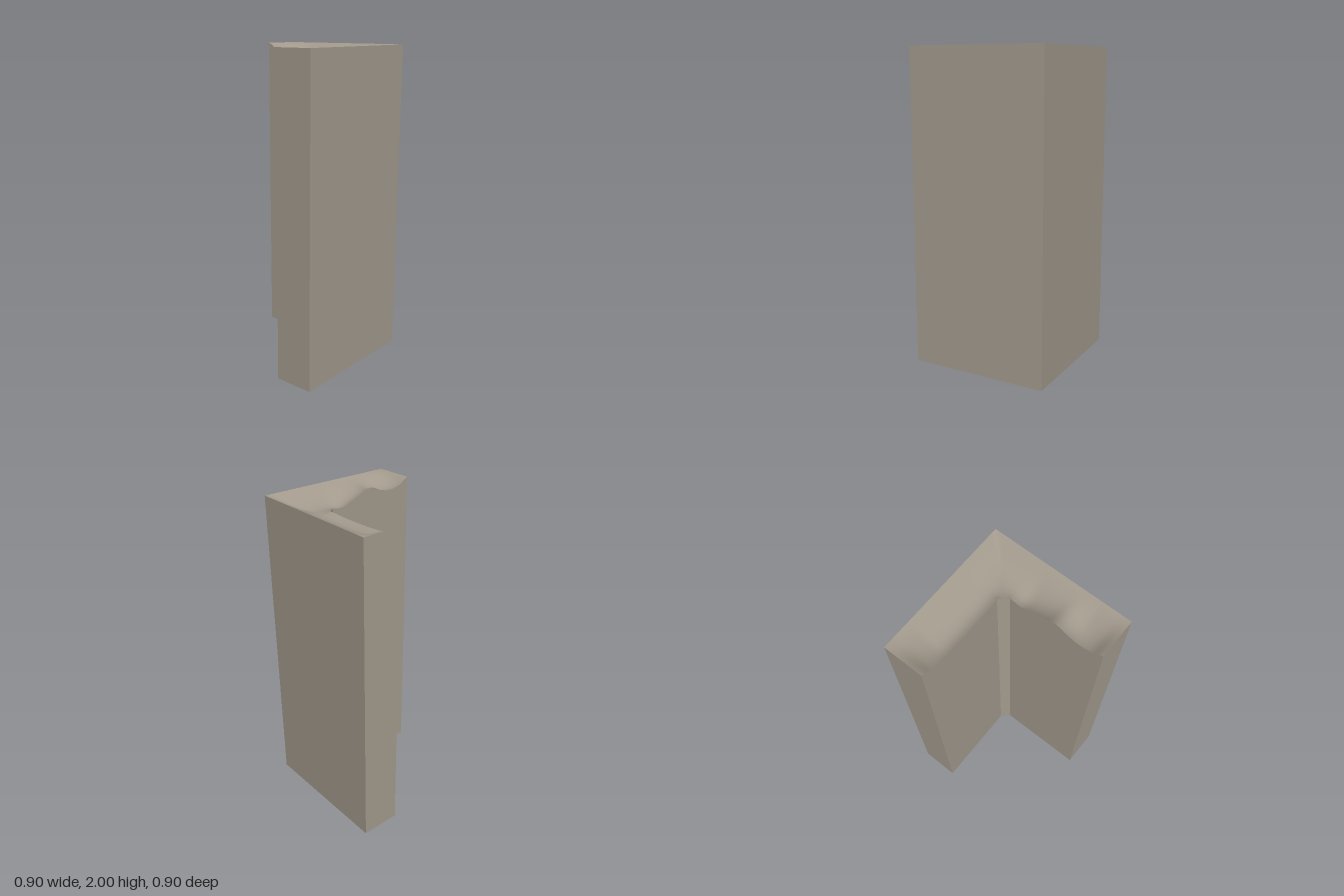
import * as THREE from 'three';

const LO = -0.45, HI = 0.45, INNER = 0.2, CHAMFER = 0.05, HEIGHT = 2;
const HALF = 40; // columns per wall

// How far the worn inner rim sinks, from each wall's free end to the corner
const spline = (drops) => new THREE.SplineCurve(drops.map((d, i) => new THREE.Vector2(i, d)));
const frontRim = spline([0, 0.042, 0.055, 0.04, 0.01, 0.035, 0.065, 0.09, 0.08, 0.077, 0.076]);
const sideRim = spline([0, 0.042, 0.066, 0.073, 0.076, 0.077, 0.077, 0.075, 0.073, 0.074, 0.076]);

// Plan position (x, z) across one wall: k runs from free end to corner, t from inside to outside
function plan(k, t) {
  const run = INNER - CHAMFER - LO;
  const f = Math.max(0, (k - 0.8) / 0.2);
  const along = LO + run * Math.min(1, k / 0.8);
  const xi = along + (CHAMFER / 2) * f, zi = INNER - (CHAMFER / 2) * f;
  const xo = along + (HI - INNER + CHAMFER) * f;
  return [xi + (xo - xi) * t, zi + (HI - zi) * t];
}

// Point on the worn top (or on the ground if low); u runs round the whole L
function point(u, t, low = false) {
  const side = u > 0.5;
  const k = side ? 2 - 2 * u : 2 * u;
  const [a, b] = plan(k, t);
  let y = 0;
  if (!low) {
    const rim = (side ? sideRim : frontRim).getPoint(k).y;
    const ease = 1 - t * t * (3 - 2 * t);
    const hollow = 0.035 * Math.min(1, k * 4) * 4 * t * (1 - t);
    y = HEIGHT - rim * ease - hollow;
  }
  return side ? [b, y, a] : [a, y, b];
}

// Grid surface from a rule; faces look along v x u
function grid(nu, nv, rule, smooth) {
  const pos = [], index = [];
  for (let i = 0; i <= nu; i++)
    for (let j = 0; j <= nv; j++) pos.push(...rule(i / nu, j / nv));
  for (let i = 0; i < nu; i++)
    for (let j = 0; j < nv; j++) {
      const a = i * (nv + 1) + j, b = a + nv + 1;
      index.push(a, a + 1, b, b, a + 1, b + 1);
    }
  let g = new THREE.BufferGeometry();
  g.setAttribute('position', new THREE.Float32BufferAttribute(pos, 3));
  g.setIndex(index);
  if (!smooth) g = g.toNonIndexed();
  g.computeVertexNormals();
  return g;
}

export function createModel() {
  const group = new THREE.Group();
  group.name = 'cornerPillar';
  const stone = new THREE.MeshStandardMaterial({ color: 0xa39a8d });
  stone.name = 'warm grey stone';

  const add = (name, geometry) => {
    const mesh = new THREE.Mesh(geometry, stone);
    mesh.name = name;
    group.add(mesh);
  };
  const N = HALF * 2;
  add('wornTop', grid(N, 14, (u, v) => point(u, v), true));
  add('innerWalls', grid(N, 1, (u, v) => point(u, 0, v === 0)));
  add('outerWalls', grid(N, 1, (u, v) => point(u, 1, v === 1)));
  add('frontWallEnd', grid(14, 1, (u, v) => point(0, u, v === 1)));
  add('sideWallEnd', grid(14, 1, (u, v) => point(1, u, v === 0)));
  add('base', grid(N, 1, (u, v) => point(u, 1 - v, true)));
  return group;
}
